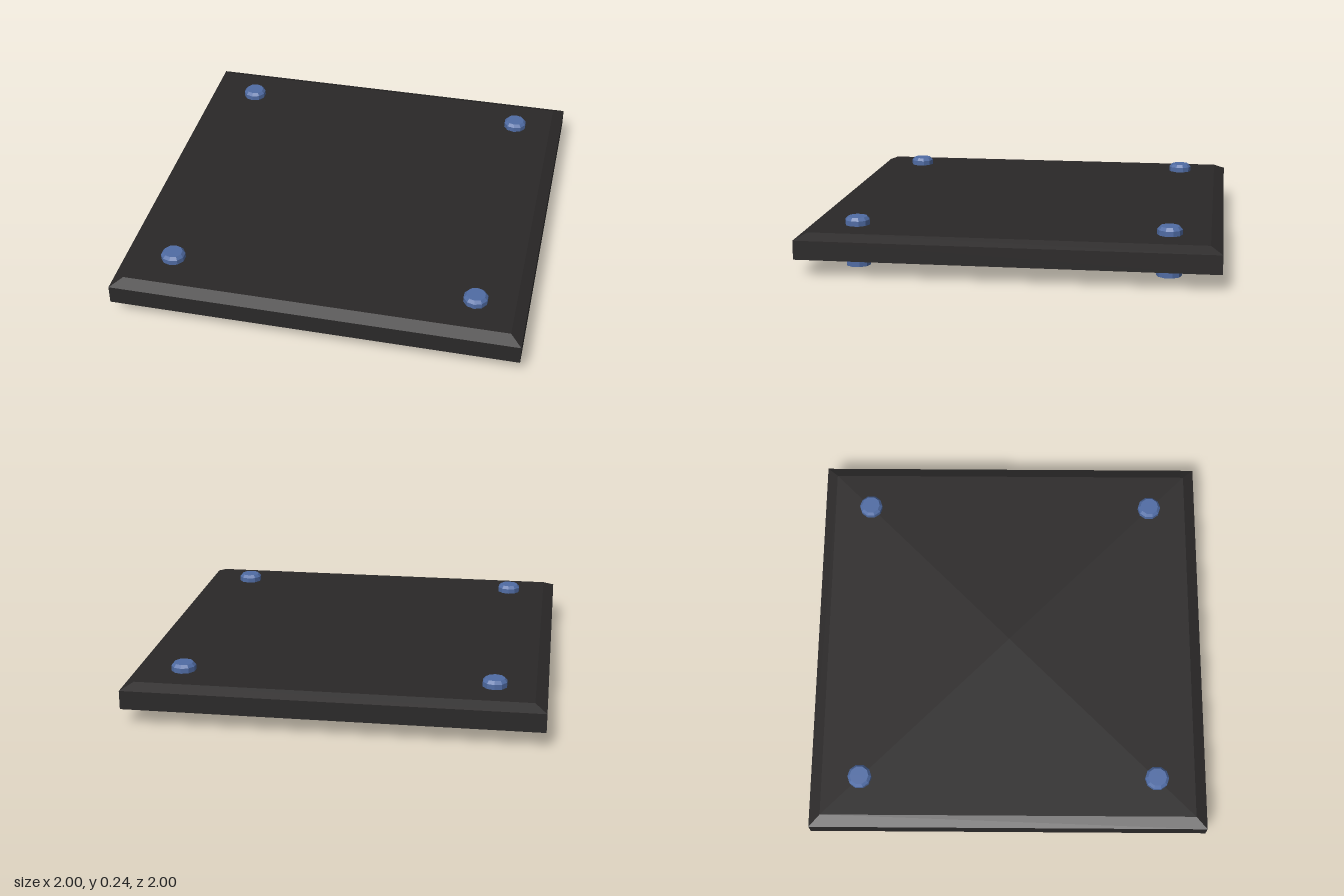
import * as THREE from 'three';

// Flat-shaded solid turned from a [radius, height] profile, listed bottom to top
function turned(name, profile, sides, phiStart, material) {
  const points = profile.map(([r, y]) => new THREE.Vector2(r, y));
  const mesh = new THREE.Mesh(new THREE.LatheGeometry(points, sides, phiStart), material);
  mesh.name = name;
  return mesh;
}

export function createModel() {
  const model = new THREE.Group();
  model.name = 'boltedPlate';
  const dark = new THREE.MeshStandardMaterial({ color: 0x2a2828, flatShading: true });
  const blue = new THREE.MeshStandardMaterial({ color: 0x506ca4, flatShading: true });

  // Square plate with a chamfered top edge: a four-sided turning, half-widths scaled to corner radii
  const corner = Math.SQRT2;
  const plateProfile = [[0, 0.08], [corner, 0.08], [corner, 0.172], [0.943 * corner, 0.2], [0, 0.2]];
  model.add(turned('plate', plateProfile, 4, Math.PI / 4, dark));

  // Ten-sided pins through the plate near each corner, chamfered on top
  const pinProfile = [[0, 0], [0.06, 0], [0.06, 0.225], [0.047, 0.24], [0, 0.24]];
  for (const [side, x] of [['Left', 0.75], ['Right', -0.75]]) {
    for (const [end, z] of [['front', 0.75], ['back', -0.75]]) {
      const pin = turned(`${end}${side}Pin`, pinProfile, 10, 0, blue);
      pin.position.set(x, 0, z);
      model.add(pin);
    }
  }
  return model;
}
